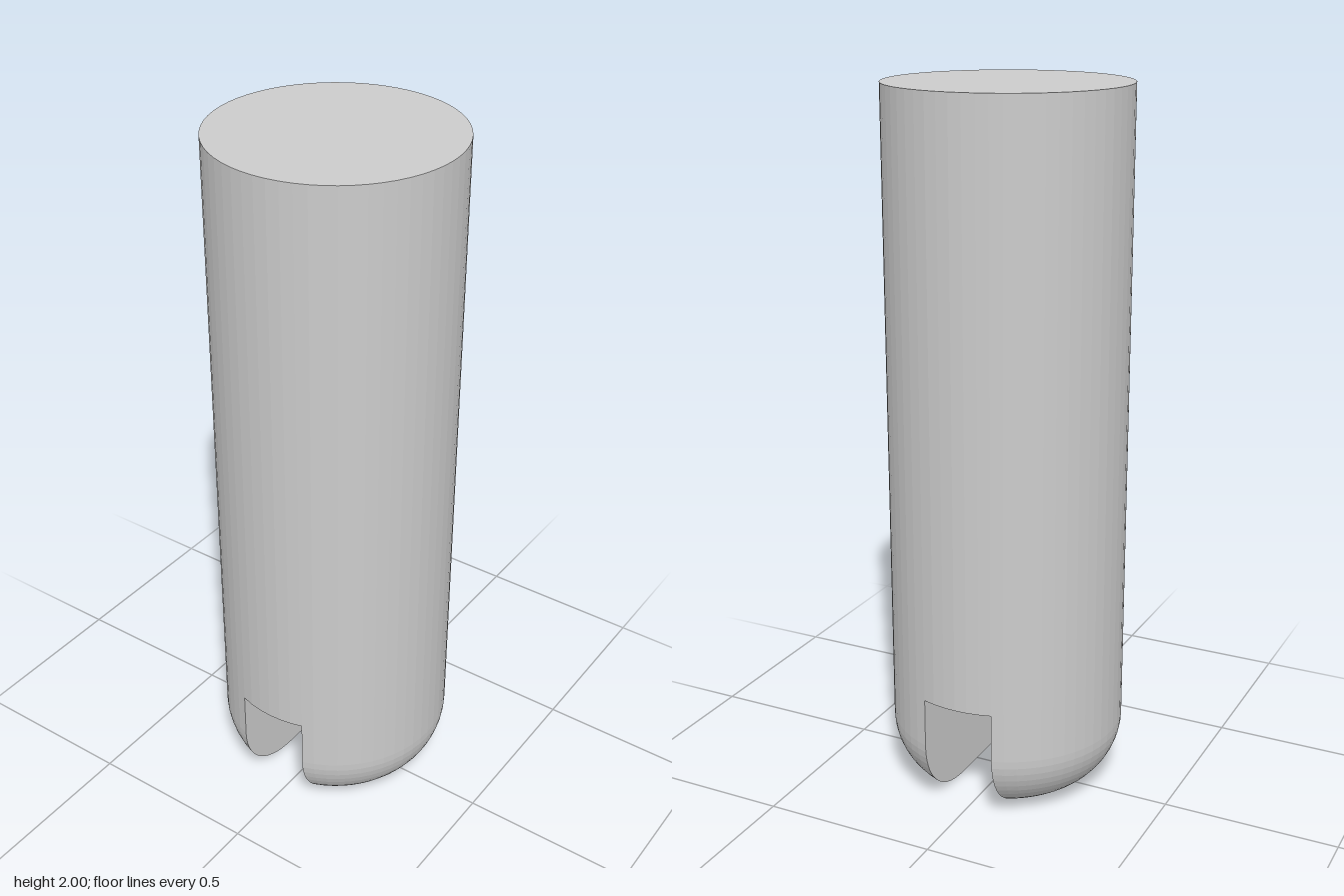
import * as THREE from 'three';

const R = 0.333;            // shaft radius
const H = 2;                // total height
const SLOT_H = 0.34;        // slot height
const FILLET = 0.2;         // rounding of the lower edge
const SEG = 60;             // sides of the shaft
const SLOT_ANGLE = Math.PI * 0.4;             // where the slot walls meet the shaft
const SLOT_X = R * Math.cos(SLOT_ANGLE);      // half width of the slot

const material = new THREE.MeshStandardMaterial({ color: 0xcccccc, flatShading: true });

function fromTriangles(points, index) {
  const g = new THREE.BufferGeometry();
  g.setAttribute('position', new THREE.Float32BufferAttribute(points.flat(), 3));
  g.setIndex(index);
  g.computeVertexNormals();
  return g;
}

// Fan over a ring of points, facing down
function fan(start, count) {
  const index = [];
  for (let j = 1; j < count - 1; j++) index.push(start, start + j, start + j + 1);
  return index;
}

// Half of the slotted end: stacked circle segments, cut flat along the slot wall
function prongGeometry() {
  const levels = [[R, SLOT_H]];
  const steps = 14, n = 24;
  for (let i = 0; i <= steps; i++) {
    const t = (i / steps) * Math.PI / 2;
    levels.push([R - FILLET + FILLET * Math.cos(t), FILLET - FILLET * Math.sin(t)]);
  }
  const points = [], index = [], ring = n + 1;
  for (const [r, y] of levels) {
    const a = Math.acos(SLOT_X / r);
    for (let j = 0; j <= n; j++) {
      const t = -a + (2 * a * j) / n;
      points.push([r * Math.cos(t), y, r * Math.sin(t)]);
    }
  }
  for (let i = 0; i < levels.length - 1; i++) {
    for (let j = 0; j < ring; j++) {
      const k = (j + 1) % ring;
      const u0 = i * ring + j, u1 = i * ring + k, l0 = u0 + ring, l1 = u1 + ring;
      index.push(l0, u0, l1, u0, u1, l1);
    }
  }
  index.push(...fan((levels.length - 1) * ring, ring));
  return fromTriangles(points, index);
}

// Roof of the slot, with rounded ends following the shaft
function slotRoofGeometry() {
  const points = [], n = 6;
  for (const side of [0, Math.PI]) {
    for (let j = 0; j <= n; j++) {
      const t = side + SLOT_ANGLE + (Math.PI - 2 * SLOT_ANGLE) * (j / n);
      points.push([R * Math.cos(t), SLOT_H, R * Math.sin(t)]);
    }
  }
  return fromTriangles(points, fan(0, points.length));
}

export function createModel() {
  const model = new THREE.Group();
  model.name = 'slottedPin';
  const add = (name, geometry) => {
    const mesh = new THREE.Mesh(geometry, material);
    mesh.name = name;
    model.add(mesh);
    return mesh;
  };

  // Shaft wall and flat top
  add('shaft', new THREE.CylinderGeometry(R, R, H - SLOT_H, SEG, 1, true))
    .position.y = (H + SLOT_H) / 2;
  const top = add('topFace', new THREE.CircleGeometry(R, SEG));
  top.rotation.x = -Math.PI / 2;
  top.position.y = H;

  // Slotted, rounded lower end
  add('slotRoof', slotRoofGeometry());
  const prong = prongGeometry();
  add('leftProng', prong);
  add('rightProng', prong).rotation.y = Math.PI;

  return model;
}
